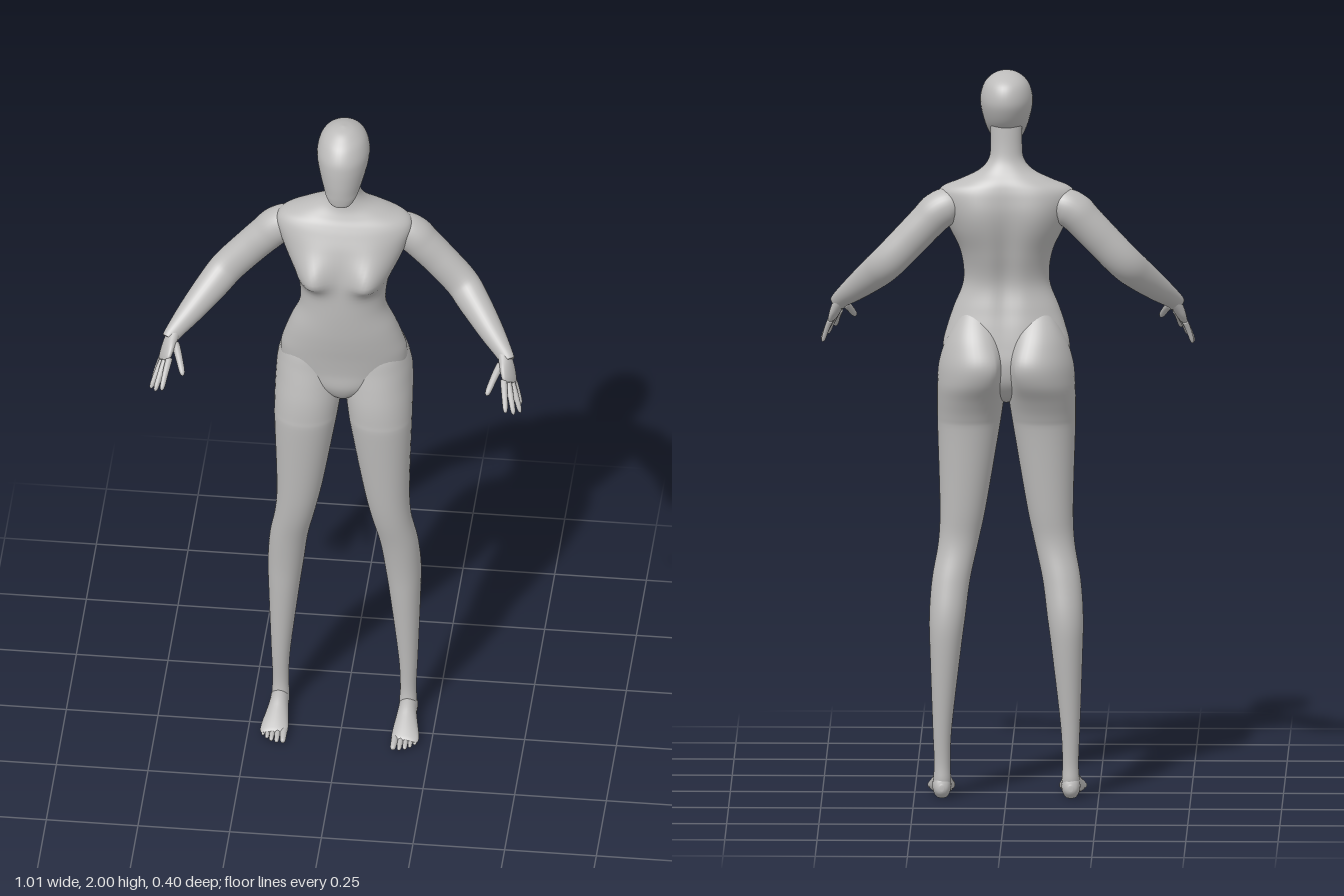
import * as THREE from 'three';

const skin = new THREE.MeshStandardMaterial({ color: 0xbdbcbb });
skin.name = 'plain grey';

// Smoothly resample rows of numbers (Catmull-Rom on every column)
function resample(rows, steps) {
  const out = [], n = rows.length;
  for (let i = 0; i < n - 1; i++) {
    const a = rows[Math.max(i - 1, 0)], b = rows[i], c = rows[i + 1], d = rows[Math.min(i + 2, n - 1)];
    for (let s = 0; s < steps; s++) {
      const t = s / steps;
      out.push(b.map((_, k) => 0.5 * (2 * b[k] + (c[k] - a[k]) * t
        + (2 * a[k] - 5 * b[k] + 4 * c[k] - d[k]) * t * t + (3 * b[k] - a[k] - 3 * c[k] + d[k]) * t * t * t)));
    }
  }
  out.push(rows[n - 1]);
  return out;
}

// Closed skin over elliptical rings { c, u, v }; bend may move each point
function skinRings(rings, sides, power = 2, bend = null) {
  const pos = [], idx = [], last = rings.length - 1, p = new THREE.Vector3();
  const soft = (k) => Math.sign(k) * Math.abs(k) ** (2 / power);
  rings.forEach(({ c, u, v }) => {
    for (let j = 0; j < sides; j++) {
      const a = j / sides * Math.PI * 2;
      p.copy(c).addScaledVector(u, soft(Math.cos(a))).addScaledVector(v, soft(Math.sin(a)));
      if (bend) bend(p, a);
      pos.push(p.x, p.y, p.z);
    }
  });
  for (let i = 0; i < last; i++) for (let j = 0; j < sides; j++) {
    const a = i * sides + j, b = i * sides + (j + 1) % sides;
    idx.push(a, a + sides, b, b, a + sides, b + sides);
  }
  pos.push(...rings[0].c.toArray(), ...rings[last].c.toArray());
  const start = (last + 1) * sides, end = start + 1;
  for (let j = 0; j < sides; j++) {
    const k = (j + 1) % sides;
    idx.push(start, j, k, end, last * sides + k, last * sides + j);
  }
  const g = new THREE.BufferGeometry();
  g.setAttribute('position', new THREE.Float32BufferAttribute(pos, 3));
  g.setIndex(idx);
  g.computeVertexNormals();
  return g;
}

// Upright form, rows bottom to top: [y, xMin, xMax, zFront, zBack]
function upright(rows, sides, steps, power, bend) {
  const rings = resample(rows, steps).map(([y, x0, x1, zf, zb]) => ({
    c: new THREE.Vector3((x0 + x1) / 2, y, (zf + zb) / 2),
    u: new THREE.Vector3((x1 - x0) / 2, 0, 0),
    v: new THREE.Vector3(0, 0, (zf - zb) / 2),
  }));
  return skinRings(rings, sides, power, bend);
}

// Limb swept along a path, rows: [x, y, z, radius along wide axis, other radius]
function limb(rows, wide, sides, steps, bend) {
  const pts = resample(rows, steps);
  const at = (i) => new THREE.Vector3(...pts[Math.min(Math.max(i, 0), pts.length - 1)].slice(0, 3));
  const rings = pts.map((r, i) => {
    const t = at(i + 1).sub(at(i - 1)).normalize();
    const u = new THREE.Vector3(...wide).addScaledVector(t, -t.dot(new THREE.Vector3(...wide))).normalize();
    const v = u.clone().cross(t);
    return { c: at(i), u: u.multiplyScalar(r[3]), v: v.multiplyScalar(r[4]) };
  });
  return skinRings(rings, sides, 2, bend);
}

// Round-tipped finger or toe from base a to tip b
function digit(a, b, r, droop, bend) {
  const rows = [[0, 1], [0.3, 0.95], [0.6, 0.85], [0.85, 0.75], [0.96, 0.5], [1, 0.08]].map(([t, k]) => [
    ...a.map((q, i) => q + (b[i] - q) * t + (i === 1 ? droop * Math.sin(t * Math.PI) : 0)), r * k, r * k]);
  return limb(rows, [1, 0, -0.3], 12, 3, bend);
}

function mirrored(g) {
  const m = g.clone().scale(-1, 1, 1), ix = m.index.array;
  for (let i = 0; i < ix.length; i += 3) [ix[i], ix[i + 1]] = [ix[i + 1], ix[i]];
  m.computeVertexNormals();
  return m;
}

export function createModel() {
  const model = new THREE.Group();
  model.name = 'figure';
  const add = (name, g) => {
    const m = new THREE.Mesh(g, skin);
    m.name = name;
    model.add(m);
  };
  const pair = (name, g) => {
    add('left' + name, g);
    add('right' + name, mirrored(g));
  };
  const bell = (d, s) => Math.exp(-(d * d) / (2 * s * s));

  // Torso and neck in one surface, with bust, spine groove and shoulder blades
  const trunk = [
    [1.09, 0.01, -0.04, -0.09], [1.11, 0.045, -0.01, -0.12], [1.15, 0.11, 0.01, -0.15],
    [1.2, 0.165, 0.012, -0.16], [1.25, 0.172, 0.018, -0.155], [1.3, 0.16, 0.026, -0.147],
    [1.35, 0.143, 0.032, -0.137], [1.42, 0.117, 0.036, -0.127], [1.5, 0.124, 0.036, -0.146],
    [1.57, 0.155, 0.03, -0.162], [1.62, 0.175, 0.018, -0.168], [1.66, 0.186, 0.001, -0.165],
    [1.685, 0.172, -0.012, -0.16], [1.705, 0.125, -0.024, -0.152], [1.73, 0.074, -0.035, -0.135],
    [1.76, 0.048, -0.04, -0.121], [1.8, 0.043, -0.04, -0.114], [1.86, 0.043, -0.05, -0.11],
  ].map(([y, w, f, b]) => [y, -w, w, f, b]);
  add('torso', upright(trunk, 72, 6, 2.1, (p, a) => {
    const s = Math.sin(a), x = Math.abs(p.x);
    if (s > 0) {
      p.z += 0.043 * bell(x - 0.08, 0.033) * bell(p.y - 1.53, p.y < 1.53 ? 0.025 : 0.045) * Math.min(1, s * 2);
    } else {
      p.z += 0.015 * bell(x, 0.022) * bell(p.y - 1.47, 0.12) * -s;
      p.z -= 0.01 * bell(x - 0.09, 0.035) * bell(p.y - 1.6, 0.06) * -s;
    }
  }));

  // Smooth faceless head
  const skull = [
    [1.786, 0.012, 0.03, 0.008], [1.791, 0.028, 0.037, -0.005], [1.81, 0.042, 0.041, -0.04],
    [1.83, 0.051, 0.043, -0.085], [1.86, 0.061, 0.044, -0.122], [1.9, 0.07, 0.042, -0.145],
    [1.93, 0.071, 0.036, -0.149], [1.96, 0.063, 0.018, -0.14], [1.98, 0.049, -0.004, -0.12],
    [1.994, 0.028, -0.026, -0.088], [2, 0.003, -0.052, -0.058],
  ].map(([y, w, f, b]) => [y, -w, w, f, b]);
  add('head', upright(skull, 40, 5, 2));

  // Legs, rising into rounded buttocks
  pair('Leg', upright([
    [0.025, 0.153, 0.195, -0.058, -0.102], [0.05, 0.15, 0.198, -0.05, -0.108], [0.1, 0.152, 0.196, -0.056, -0.106],
    [0.2, 0.147, 0.2, -0.05, -0.115], [0.4, 0.124, 0.207, -0.035, -0.137], [0.5, 0.111, 0.209, -0.028, -0.14],
    [0.6, 0.098, 0.202, -0.015, -0.123], [0.7, 0.076, 0.185, 0.003, -0.104], [0.8, 0.055, 0.181, 0.015, -0.11],
    [1, 0.021, 0.187, 0.032, -0.127], [1.05, 0.013, 0.188, 0.032, -0.138], [1.1, 0.006, 0.188, 0.028, -0.162],
    [1.15, 0.002, 0.187, 0.019, -0.191], [1.2, 0.002, 0.183, 0.008, -0.2], [1.25, 0.008, 0.169, -0.002, -0.181],
    [1.3, 0.024, 0.145, -0.025, -0.15], [1.36, 0.06, 0.11, -0.06, -0.1],
  ], 40, 5, 2.1, (p) => { // lean the buttock towards the middle
    if (p.z < -0.1) p.x -= 0.25 * (-0.1 - p.z) * bell(p.y - 1.2, 0.06) * Math.min(1, p.x / 0.05);
  }));

  // Feet and toes, flattened on the ground
  const ground = (p) => { p.y = Math.max(p.y, 0); };
  pair('Foot', limb([
    [0.175, 0.03, -0.112, 0.006, 0.008], [0.175, 0.03, -0.105, 0.018, 0.022], [0.175, 0.032, -0.085, 0.025, 0.036],
    [0.175, 0.034, -0.045, 0.026, 0.038], [0.176, 0.026, -0.01, 0.031, 0.031], [0.178, 0.016, 0.03, 0.037, 0.021],
    [0.179, 0.012, 0.052, 0.037, 0.013], [0.179, 0.011, 0.062, 0.03, 0.007],
  ], [1, 0, 0], 28, 5, ground));
  [[0.15, 0.094, 0.0105], [0.167, 0.095, 0.0085], [0.182, 0.09, 0.008], [0.195, 0.08, 0.0075], [0.207, 0.067, 0.007]]
    .forEach(([x, z, r], i) => pair('Toe' + (i + 1),
      digit([0.179 + (x - 0.179) * 0.92, 0.013, z - 0.052], [x, 0.008, z], r, 0.002, ground)));

  // Arms from the shoulder to the wrist
  pair('Arm', limb([
    [0.11, 1.635, -0.098, 0.03, 0.03], [0.15, 1.635, -0.098, 0.048, 0.046], [0.185, 1.618, -0.098, 0.052, 0.05],
    [0.215, 1.588, -0.097, 0.05, 0.048], [0.26, 1.54, -0.094, 0.049, 0.044], [0.318, 1.478, -0.083, 0.048, 0.042],
    [0.355, 1.44, -0.05, 0.045, 0.041], [0.41, 1.387, 0.01, 0.035, 0.033], [0.45, 1.349, 0.056, 0.025, 0.021],
    [0.46, 1.335, 0.07, 0.023, 0.017],
  ], [0.7, 0.7, 0.1], 32, 6));

  // Hands with four fingers and a thumb
  const across = [0.028, -0.03, -0.05];
  pair('Palm', limb([
    [0.447, 1.352, 0.053, 0.018, 0.016], [0.456, 1.335, 0.07, 0.025, 0.017], [0.463, 1.318, 0.087, 0.032, 0.015],
    [0.469, 1.3, 0.103, 0.033, 0.012], [0.472, 1.291, 0.112, 0.028, 0.008],
  ], across, 24, 5));
  const fingers = {
    Thumb: [[0.443, 1.33, 0.085], [0.414, 1.283, 0.165], 0.011],
    IndexFinger: [[0.456, 1.306, 0.122], [0.469, 1.25, 0.194], 0.0095],
    MiddleFinger: [[0.467, 1.296, 0.114], [0.489, 1.232, 0.175], 0.0095],
    RingFinger: [[0.476, 1.287, 0.102], [0.504, 1.217, 0.144], 0.009],
    LittleFinger: [[0.481, 1.283, 0.088], [0.502, 1.22, 0.108], 0.008],
  };
  for (const [name, [a, b, r]] of Object.entries(fingers)) pair(name, digit(a, b, r, 0.004));

  return model;
}
